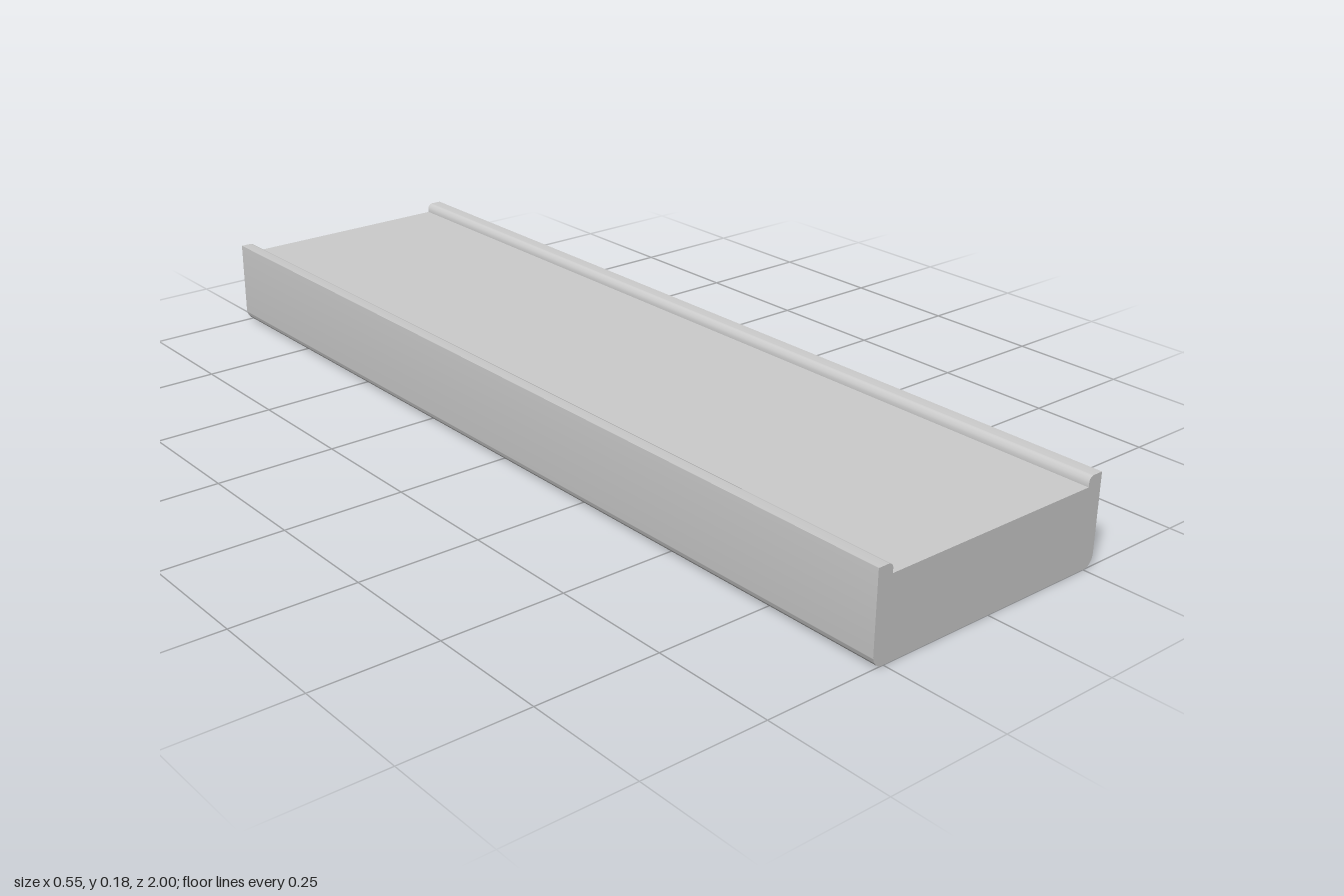
import * as THREE from 'three';
import { toCreasedNormals } from 'three/addons/utils/BufferGeometryUtils.js';

const W = 0.274;      // half width
const TOP = 0.181;    // top of the side lips
const DECK = 0.161;   // recessed top surface
const LIP = 0.241;    // inner face of the lips
const LENGTH = 2;

// Cross-section: flat deck between two raised lips, rounded lower edges
function crossSection() {
  const rx = 0.021, ry = 0.025, r = 0.011;
  const s = new THREE.Shape();
  s.moveTo(-W + rx, 0);
  s.lineTo(W - rx, 0);
  s.absellipse(W - rx, ry, rx, ry, -Math.PI / 2, 0, false, 0);
  s.lineTo(W, TOP);
  s.lineTo(LIP + r, TOP);
  s.absarc(LIP + r, TOP - r, r, Math.PI / 2, Math.PI, false);
  s.lineTo(LIP, DECK);
  s.lineTo(-LIP, DECK);
  s.lineTo(-LIP, TOP - r);
  s.absarc(-LIP - r, TOP - r, r, 0, Math.PI / 2, false);
  s.lineTo(-W, TOP);
  s.lineTo(-W, ry);
  s.absellipse(-W + rx, ry, rx, ry, Math.PI, Math.PI * 1.5, false, 0);
  return s;
}

export function createModel() {
  const group = new THREE.Group();
  group.name = 'lippedPlank';

  // Plank body, extruded along its length
  const geometry = new THREE.ExtrudeGeometry(crossSection(), {
    depth: LENGTH, bevelEnabled: false, curveSegments: 12,
  });
  geometry.translate(0, 0, -LENGTH / 2);
  const plank = new THREE.Mesh(
    toCreasedNormals(geometry, 0.6),
    new THREE.MeshStandardMaterial({ color: 0xcccccc }),
  );
  plank.name = 'plank';
  group.add(plank);
  return group;
}
